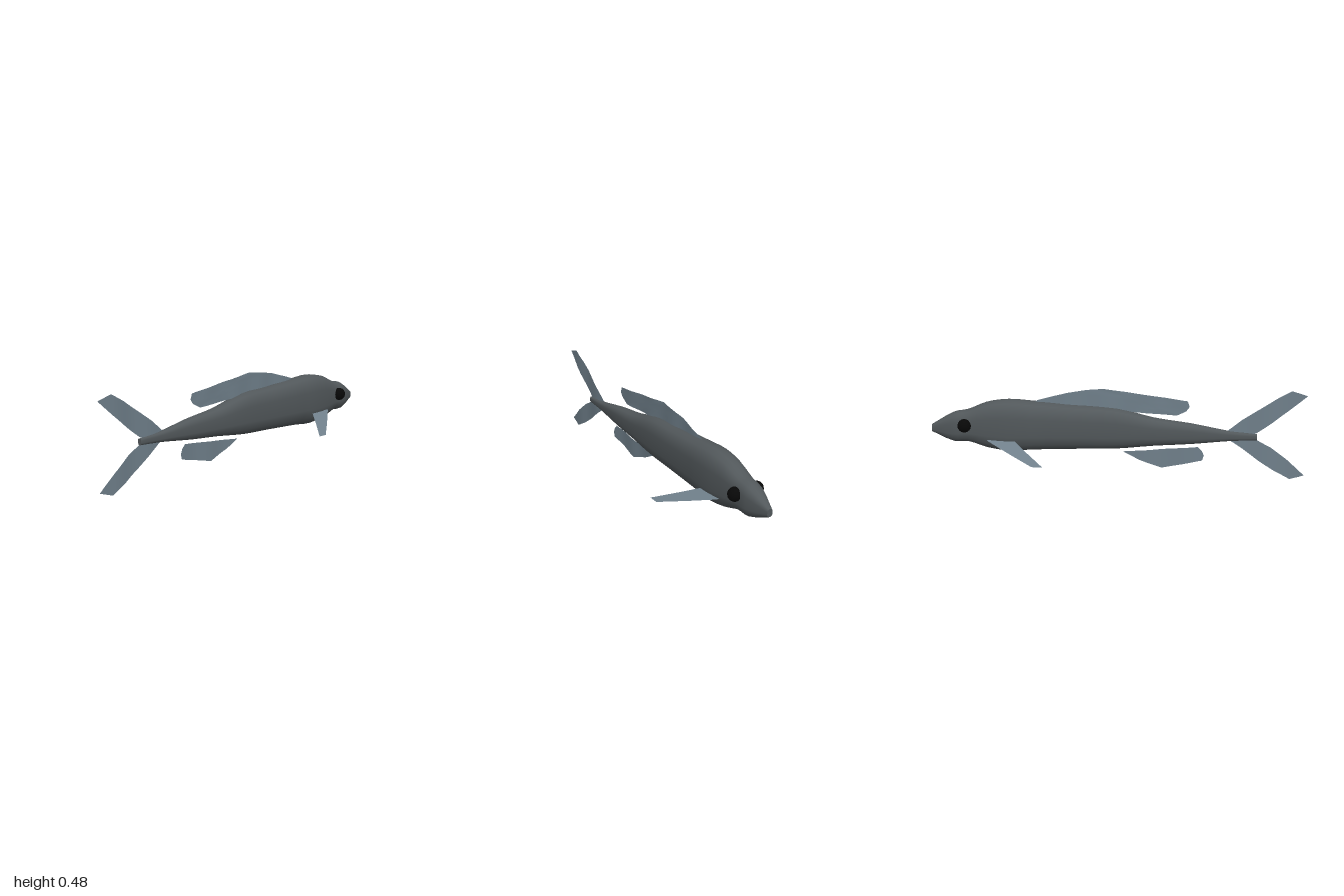
import * as THREE from 'three';

const SIDES = 16;

// Body stations from snout to tail root: z, top y, bottom y, half width
const STATIONS = [
  [-1, 0.266, 0.225, 0.015], [-0.88, 0.335, 0.176, 0.052], [-0.8, 0.352, 0.177, 0.058],
  [-0.7, 0.393, 0.147, 0.07], [-0.58, 0.411, 0.131, 0.079], [-0.45, 0.404, 0.14, 0.078],
  [-0.2, 0.387, 0.15, 0.07], [0, 0.374, 0.156, 0.062], [0.2, 0.327, 0.176, 0.05],
  [0.4, 0.3, 0.19, 0.037], [0.6, 0.264, 0.21, 0.02], [0.745, 0.25, 0.217, 0.011],
];

// Rounded-oval cross-section with flattened flanks
function ringPoint([, top, bottom, w], i) {
  const a = ((i + 0.5) / SIDES) * Math.PI * 2, c = Math.cos(a), s = Math.sin(a);
  return [
    Math.sign(c) * Math.abs(c) ** 0.93 * w * 1.01,
    (top + bottom) / 2 + Math.sign(s) * Math.abs(s) ** 0.62 * ((top - bottom) / 2) * 1.01,
  ];
}

function geometry(pos, idx) {
  const g = new THREE.BufferGeometry();
  g.setAttribute('position', new THREE.Float32BufferAttribute(pos, 3));
  g.setIndex(idx);
  g.computeVertexNormals();
  return g;
}

function bodyGeometry() {
  // Smooth the top, bottom and width lines between stations
  const rows = [];
  STATIONS.forEach((s, k) => {
    if (k === STATIONS.length - 1) return rows.push(s);
    const n = STATIONS[k + 1];
    const slope = (j, c) => {
      const p = STATIONS[Math.max(0, j - 1)], q = STATIONS[Math.min(STATIONS.length - 1, j + 1)];
      return (q[c] - p[c]) / (q[0] - p[0]);
    };
    const d = n[0] - s[0];
    for (let m = 0; m < 3; m++) {
      const t = m / 3, t2 = t * t, t3 = t2 * t;
      rows.push(s.map((v, c) => c === 0 ? v + d * t
        : (2 * t3 - 3 * t2 + 1) * v + (t3 - 2 * t2 + t) * d * slope(k, c)
          + (3 * t2 - 2 * t3) * n[c] + (t3 - t2) * d * slope(k + 1, c)));
    }
  });
  const pos = [], idx = [];
  rows.forEach((r, k) => {
    for (let i = 0; i < SIDES; i++) {
      pos.push(...ringPoint(r, i), r[0]);
      if (k === rows.length - 1) continue;
      const a = k * SIDES + i, b = k * SIDES + (i + 1) % SIDES;
      idx.push(a, b, a + SIDES, b, b + SIDES, a + SIDES);
    }
  });
  return geometry(pos, idx);
}

// Flat end disc; dir is the z direction it faces
function capGeometry(station, dir) {
  const pos = [], idx = [];
  for (let i = 0; i < SIDES; i++) {
    pos.push(...ringPoint(station, i), station[0]);
    if (i > 1) idx.push(0, ...(dir > 0 ? [i - 1, i] : [i, i - 1]));
  }
  return geometry(pos, idx);
}

// Point at t (0..1) along a polyline of pairs
function along(line, t) {
  const f = t * (line.length - 1), i = Math.min(Math.floor(f), line.length - 2), u = f - i;
  return [0, 1].map((c) => line[i][c] * (1 - u) + line[i + 1][c] * u);
}

// Fin membrane stretched between two edge lines; place maps pairs to 3D
function finGeometry(edgeA, edgeB, place, steps = 24, across = 4) {
  const pos = [], idx = [], row = across + 1;
  for (let i = 0; i <= steps; i++) {
    const a = along(edgeA, i / steps), b = along(edgeB, i / steps);
    for (let j = 0; j <= across; j++) {
      const v = j / across;
      pos.push(...place(a[0] + (b[0] - a[0]) * v, a[1] + (b[1] - a[1]) * v));
      if (i < steps && j < across) {
        const p = i * row + j;
        idx.push(p, p + 1, p + row, p + 1, p + row + 1, p + row);
      }
    }
  }
  return geometry(pos, idx);
}

export function createModel() {
  const group = new THREE.Group();
  const material = (name, color) => {
    const m = new THREE.MeshStandardMaterial({ color });
    m.name = name;
    return m;
  };
  const skin = material('bodyGrey', 0x52585b);
  const finMat = material('finBlueGrey', 0x70808b);
  const black = material('eyeBlack', 0x080808);
  finMat.side = THREE.DoubleSide;

  const add = (name, geo, mat) => {
    const mesh = new THREE.Mesh(geo, mat);
    mesh.name = name;
    group.add(mesh);
    return mesh;
  };

  // Body and its blunt ends
  add('body', bodyGeometry(), skin);
  add('snoutEnd', capGeometry(STATIONS[0], -1), skin);
  add('tailRootEnd', capGeometry(STATIONS[STATIONS.length - 1], 1), skin);

  // Midline fins, given as (z, y) edges, with a faint ripple
  const upright = (z, y) => [0.003 * Math.sin(z * 30), y, z];
  add('dorsalFin', finGeometry(
    [[-0.45, 0.395], [-0.42, 0.412], [-0.26, 0.455], [-0.16, 0.471], [-0.07, 0.48], [0.15, 0.452], [0.377, 0.422]],
    [[-0.45, 0.37], [-0.3, 0.37], [-0.12, 0.36], [0.08, 0.357], [0.32, 0.342], [0.37, 0.367], [0.388, 0.392]],
    upright, 36), finMat);
  add('analFin', finGeometry(
    [[0.035, 0.136], [0.17, 0.148], [0.3, 0.16], [0.436, 0.171], [0.457, 0.15]],
    [[0.035, 0.136], [0.12, 0.093], [0.243, 0.05], [0.46, 0.096], [0.468, 0.123]],
    upright), finMat);
  add('upperTailFin', finGeometry(
    [[0.57, 0.25], [0.66, 0.322], [0.757, 0.388], [0.84, 0.443], [0.92, 0.487]],
    [[0.64, 0.23], [0.74, 0.254], [0.82, 0.312], [0.91, 0.384], [1, 0.463]],
    upright), finMat);
  add('lowerTailFin', finGeometry(
    [[0.57, 0.235], [0.66, 0.175], [0.757, 0.104], [0.84, 0.05], [0.925, 0.005]],
    [[0.64, 0.25], [0.74, 0.221], [0.82, 0.178], [0.91, 0.11], [1, 0.029]],
    upright), finMat);

  // Paired fins, given as (x, z) edges on a downward slope, and eyes
  for (const [side, s] of [['left', 1], ['right', -1]]) {
    add(side + 'PectoralFin', finGeometry(
      [[0.055, -0.7], [0.077, -0.68], [0.16, -0.56], [0.253, -0.42]],
      [[0.055, -0.555], [0.071, -0.54], [0.15, -0.465], [0.253, -0.363]],
      (x, z) => [s * x, 0.198 - 0.45 * (x - 0.075), z]), finMat);
    const eye = add(side + 'Eye', new THREE.SphereGeometry(0.036, 16, 12), black);
    eye.position.set(s * 0.062, 0.277, -0.81);
  }
  return group;
}
